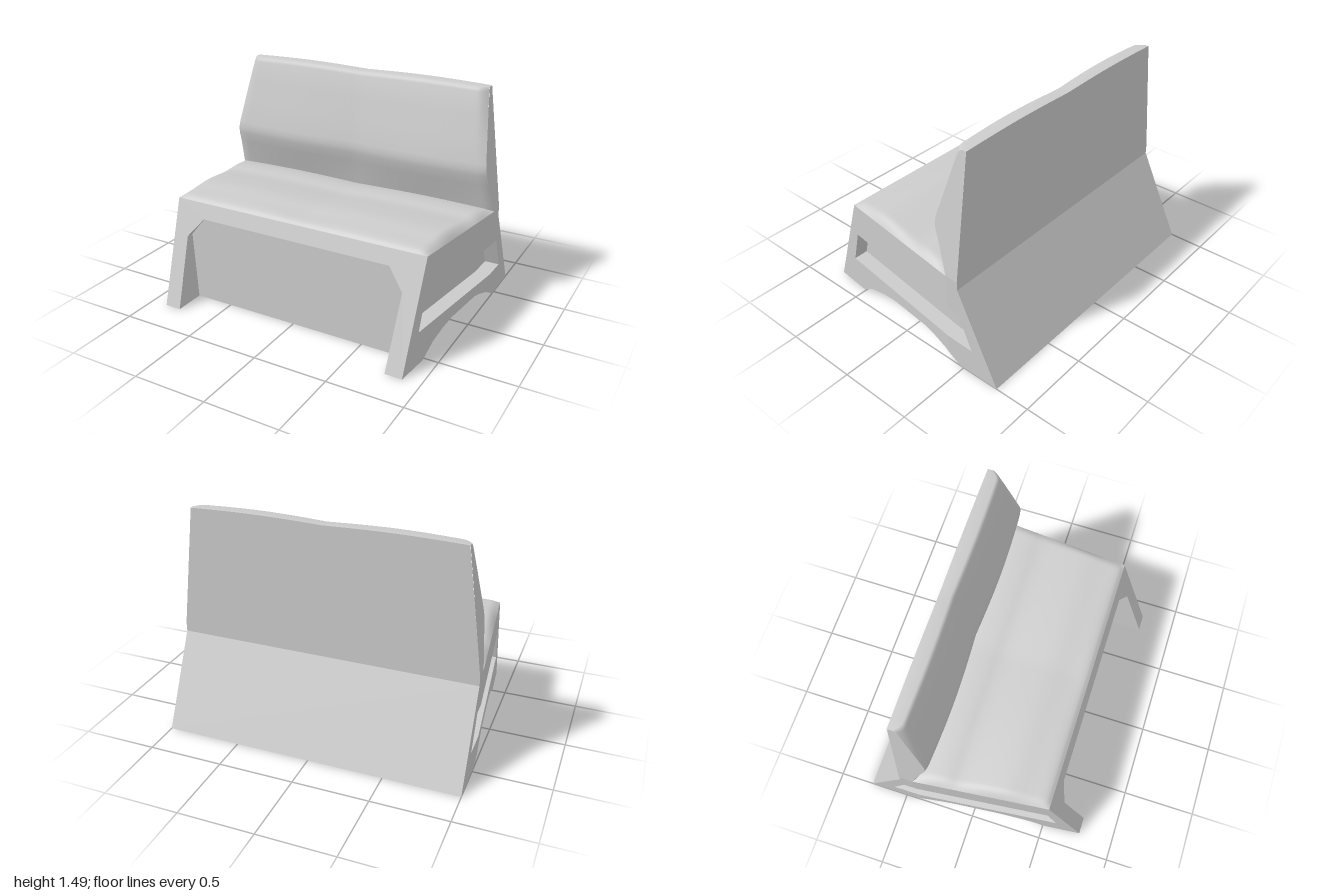
import * as THREE from 'three';
import { toCreasedNormals } from 'three/addons/utils/BufferGeometryUtils.js';

const material = new THREE.MeshStandardMaterial({ color: 0xcccccc });

// Half width of the base: full at the rear, narrowing to the front
const baseHalf = (z) => Math.min(1, 1 - 0.104 * (z + 0.38));
// Half width of the backrest: narrowing upwards
const backHalf = (y) => 1 - 0.134 * Math.max(0, y - 0.66);
// Two soft swells across the width, with a dip in the middle and at the ends
const dip = (u) => 1 - Math.abs(Math.sin(Math.PI * u));
// Rounding towards the outer edges
const edge = (u) => Math.max(0, (Math.abs(u) - 0.93) / 0.07) ** 2;

function part(name, geometry) {
  const mesh = new THREE.Mesh(geometry, material);
  mesh.name = name;
  return mesh;
}

// Surface through rows of [x, y, z] points
function loft(rows, crease = 0.5) {
  const n = rows[0].length, index = [];
  for (let i = 0; i < rows.length - 1; i++) {
    for (let j = 0; j < n - 1; j++) {
      const a = i * n + j, b = a + 1, c = a + n, d = c + 1;
      index.push(a, b, d, a, d, c);
    }
  }
  const g = new THREE.BufferGeometry();
  g.setAttribute('position', new THREE.Float32BufferAttribute(rows.flat(2), 3));
  g.setIndex(index);
  return toCreasedNormals(g, crease);
}

// Flat outline whose vertices are placed in space by a rule
function sheet(points, place) {
  const g = new THREE.ShapeGeometry(new THREE.Shape(points.map(([a, b]) => new THREE.Vector2(a, b))));
  const p = g.attributes.position;
  for (let i = 0; i < p.count; i++) p.setXYZ(i, ...place(p.getX(i), p.getY(i)));
  const flat = g.toNonIndexed();
  flat.computeVertexNormals();
  return flat;
}
// Outline given as [z, y], facing +x
const sideSheet = (points, half) =>
  sheet(points.map(([z, y]) => [-z, y]), (a, y) => [half(-a, y), y, -a]);

export function createModel() {
  const model = new THREE.Group();
  model.name = 'bench';
  const across = Array.from({ length: 65 }, (_, i) => Math.sin((i / 32 - 1) * Math.PI / 2));

  // Wavy seat
  const crown = new THREE.CatmullRomCurve3([
    [0.52, 0.7], [0.487, 0.724], [0.36, 0.737], [0.24, 0.744], [0.1, 0.732], [-0.08, 0.709],
    [-0.17, 0.714], [-0.26, 0.708], [-0.38, 0.68],
  ].map(([z, y]) => new THREE.Vector3(0, y, z))).getPoints(32);
  model.add(part('seat', loft(crown.map(({ y, z }) => across.map((u) => {
    const low = 0.66 + 0.04 * (z + 0.38) / 0.9;
    const fade = Math.min(1, (0.52 - z) / 0.1);
    const top = y - 0.01 * dip(u) * fade;
    return [u * baseHalf(z), THREE.MathUtils.lerp(top, low, edge(u)), z];
  })), 0.9)));

  // Backrest: front face, top edge and upright rear face
  const backProfile = [
    [-0.35, 0.66], [-0.322, 0.74], [-0.277, 0.86], [-0.253, 0.93], [-0.248, 0.97], [-0.254, 1.01],
    [-0.29, 1.16], [-0.33, 1.32], [-0.364, 1.46], [-0.37, 1.475], [-0.38, 1.487], [-0.39, 1.49],
    [-0.47, 1.49], [-0.47, 0.66], [-0.47, 0.6],
  ];
  const backPoint = ([z, y], u) => {
    const h = y > 1.4 ? y - 0.01 * dip(u) : y;
    if (z < -0.46) return [u * backHalf(y), h, z];
    const swell = 0.018 * Math.min(1, (y - 0.66) / 0.2) * (1 - 0.9 * Math.max(0, y - 1));
    const chamfer = 0.005 + 0.0735 * Math.abs(y - 1);
    return [u * backHalf(y), h, z - swell * dip(u) - chamfer * edge(u)];
  };
  model.add(part('backrest', loft(backProfile.map((p) => across.map((u) => backPoint(p, u))), 0.65)));

  // Sloping rear, back foot and arched underside
  const arch = [[-0.47, 0], [-0.38, 0.053], [-0.35, 0.07], [-0.23, 0.109], [-0.16, 0.123],
    [0.16, 0.123], [0.28, 0.104], [0.4, 0.07], [0.52, 0]];
  const under = [[-0.47, 0.6], [-0.765, 0], ...arch, [0.55, 0]];
  model.add(part('rearAndUnderside', loft(under.map(([z, y]) =>
    [[-baseHalf(z), y, z], [baseHalf(z), y, z]]))));

  // Sloping front frame around a recessed upright panel
  const frontZ = (y) => 0.765 - 0.245 * y / 0.7;
  const opening = [[0.767, 0], [0.79, 0.47], [0.68, 0.6], [-0.68, 0.6], [-0.79, 0.47], [-0.767, 0]];
  const w0 = baseHalf(0.765), w1 = baseHalf(0.52);
  model.add(part('frontFrame', sheet([...opening, [-w0, 0], [-w1, 0.7], [w1, 0.7], [w0, 0]],
    (x, y) => [x, y, frontZ(y)])));
  model.add(part('frontPanel', sheet(opening, (x, y) => [x, y, 0.55])));
  model.add(part('frontRecess', loft(opening.map(([x, y]) => [[x, y, 0.55], [x, y, frontZ(y)]]), 0.2)));

  // One side, then its mirror image
  const slot = [[0.587, 0.228], [-0.38, 0.19], [-0.57, 0.183], [-0.47, 0.413], [-0.38, 0.418], [0.52, 0.463]];
  const slotHalf = (z) => baseHalf(z) - 0.1;
  const sideParts = [
    ['sideFront', sideSheet([[0.765, 0], [0.52, 0.7], [-0.38, 0.66], slot[4], slot[5], slot[0], slot[1],
      ...arch.slice(1)], baseHalf)],
    ['sideRear', sideSheet([[-0.38, 0.66], [-0.47, 0.66], [-0.47, 0.6], [-0.765, 0], arch[0], arch[1],
      ...slot.slice(1, 5)], baseHalf)],
    ['backrestSide', sideSheet(backProfile.slice(0, 14).map((p) => {
      const [, y, z] = backPoint(p, 1);
      return [z, y];
    }), (z, y) => backHalf(y))],
    ['slotWall', loft([...slot, slot[0]].map(([z, y]) => [[slotHalf(z), y, z], [baseHalf(z), y, z]]), 0.2)],
    ['slotFloorFront', sideSheet([slot[0], slot[1], slot[4], slot[5]], slotHalf)],
    ['slotFloorRear', sideSheet(slot.slice(1, 5), slotHalf)],
    ['frontFoot', loft([0.55, 0.765].map((z) => [[0.767, 0, z], [baseHalf(z), 0, z]]))],
  ];
  for (const s of [1, -1]) {
    const side = new THREE.Group();
    side.name = s > 0 ? 'leftSide' : 'rightSide';
    side.scale.x = s;
    for (const [name, geometry] of sideParts) side.add(part(name, geometry));
    model.add(side);
  }
  return model;
}
